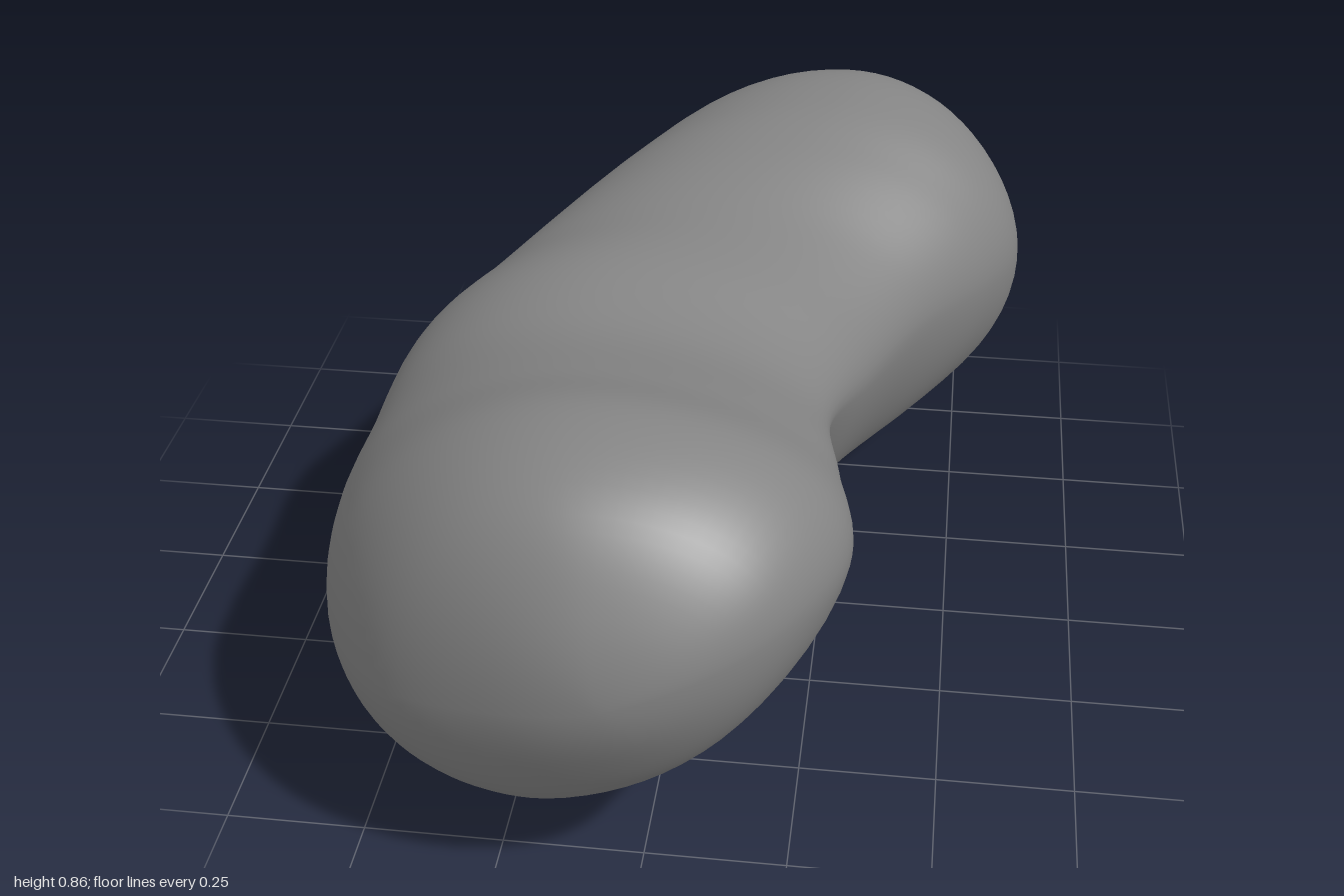
import * as THREE from 'three';
import { mergeVertices } from 'three/addons/utils/BufferGeometryUtils.js';

// Cross-sections from front tip to back tip:
// z, right point x y, top point x y, left point x y, bottom point x y, flatness of the inner side
const SECTIONS = [
  [1, -0.03, 0.53, -0.03, 0.53, -0.03, 0.53, -0.03, 0.53, 1],
  [0.96, 0.13, 0.58, -0.05, 0.68, -0.22, 0.48, -0.1, 0.38, 1.05],
  [0.85, 0.255, 0.61, -0.07, 0.818, -0.42, 0.42, -0.17, 0.205, 1.15],
  [0.66, 0.333, 0.61, -0.08, 0.863, -0.55, 0.38, -0.25, 0.088, 1.28],
  [0.45, 0.3, 0.61, -0.12, 0.8, -0.603, 0.36, -0.24, 0.045, 1.4],
  [0.22, 0.27, 0.58, -0.16, 0.748, -0.612, 0.35, -0.21, 0.018, 1.52],
  [0, 0.33, 0.54, -0.12, 0.775, -0.6, 0.37, -0.13, 0.003, 1.32],
  [-0.2, 0.42, 0.54, 0, 0.778, -0.55, 0.35, -0.09, 0.015, 1.18],
  [-0.4, 0.55, 0.53, 0.13, 0.82, -0.465, 0.345, -0.03, 0.045, 1.08],
  [-0.56, 0.608, 0.515, 0.21, 0.85, -0.38, 0.35, 0.03, 0.075, 1],
  [-0.74, 0.565, 0.505, 0.23, 0.842, -0.26, 0.37, 0.08, 0.112, 1],
  [-0.88, 0.455, 0.5, 0.2, 0.75, -0.12, 0.41, 0.11, 0.205, 1],
  [-0.965, 0.32, 0.48, 0.17, 0.62, 0.01, 0.44, 0.13, 0.34, 1],
  [-1, 0.15, 0.47, 0.15, 0.47, 0.15, 0.47, 0.15, 0.47, 1],
];

// Section mirrored through a tip, so that the skin rounds over smoothly there
const beyond = (tip, next) => next.map((v, k) => (k === 0 ? v : 2 * tip[k] - v));

// Point on a section: four elliptical quarters joining its extreme points
function sectionPoint([right, top, left, bottom], flatness, t) {
  const c = Math.cos(t), s = Math.sin(t);
  const side = c >= 0 ? right : left, end = s >= 0 ? top : bottom;
  const power = c > 0 && s < 0 ? flatness : 1;
  return [
    end.x + (side.x - end.x) * Math.abs(c) ** power,
    side.y + (end.y - side.y) * Math.abs(s) ** power,
    side.z,
  ];
}

// Smooth skin lofted through the sections
function beanGeometry(rings = 90, sides = 72) {
  const n = SECTIONS.length;
  const rows = [
    beyond(SECTIONS[0], SECTIONS[1]),
    ...SECTIONS,
    beyond(SECTIONS[n - 1], SECTIONS[n - 2]),
  ];
  const spline = (f) => new THREE.CatmullRomCurve3(rows.map(f), false, 'catmullrom', 0.5);
  const rails = [1, 3, 5, 7].map((k) => spline((r) => new THREE.Vector3(r[k], r[k + 1], r[0])));
  const flat = spline((r) => new THREE.Vector3(r[9], 0, 0));
  const positions = [], index = [];
  for (let i = 0; i <= rings; i++) {
    const u = (1 + (i / rings) * (n - 1)) / (n + 1);
    const extremes = rails.map((rail) => rail.getPoint(u));
    const flatness = flat.getPoint(u).x;
    for (let j = 0; j < sides; j++) {
      positions.push(...sectionPoint(extremes, flatness, (j / sides) * Math.PI * 2));
      if (i === rings) continue;
      const a = i * sides + j, d = i * sides + ((j + 1) % sides);
      const b = a + sides, e = d + sides;
      if (i < rings - 1) index.push(a, b, e);
      else index.push(a, b, d);
      if (i > 0 && i < rings - 1) index.push(a, e, d);
    }
  }
  const geometry = new THREE.BufferGeometry();
  geometry.setAttribute('position', new THREE.Float32BufferAttribute(positions, 3));
  geometry.setIndex(index);
  const merged = mergeVertices(geometry, 1e-5);
  merged.computeVertexNormals();
  return merged;
}

export function createModel() {
  const group = new THREE.Group();
  group.name = 'bean';
  const body = new THREE.Mesh(beanGeometry(), new THREE.MeshStandardMaterial({ color: 0x848484 }));
  body.name = 'beanBody';
  group.add(body);
  return group;
}
